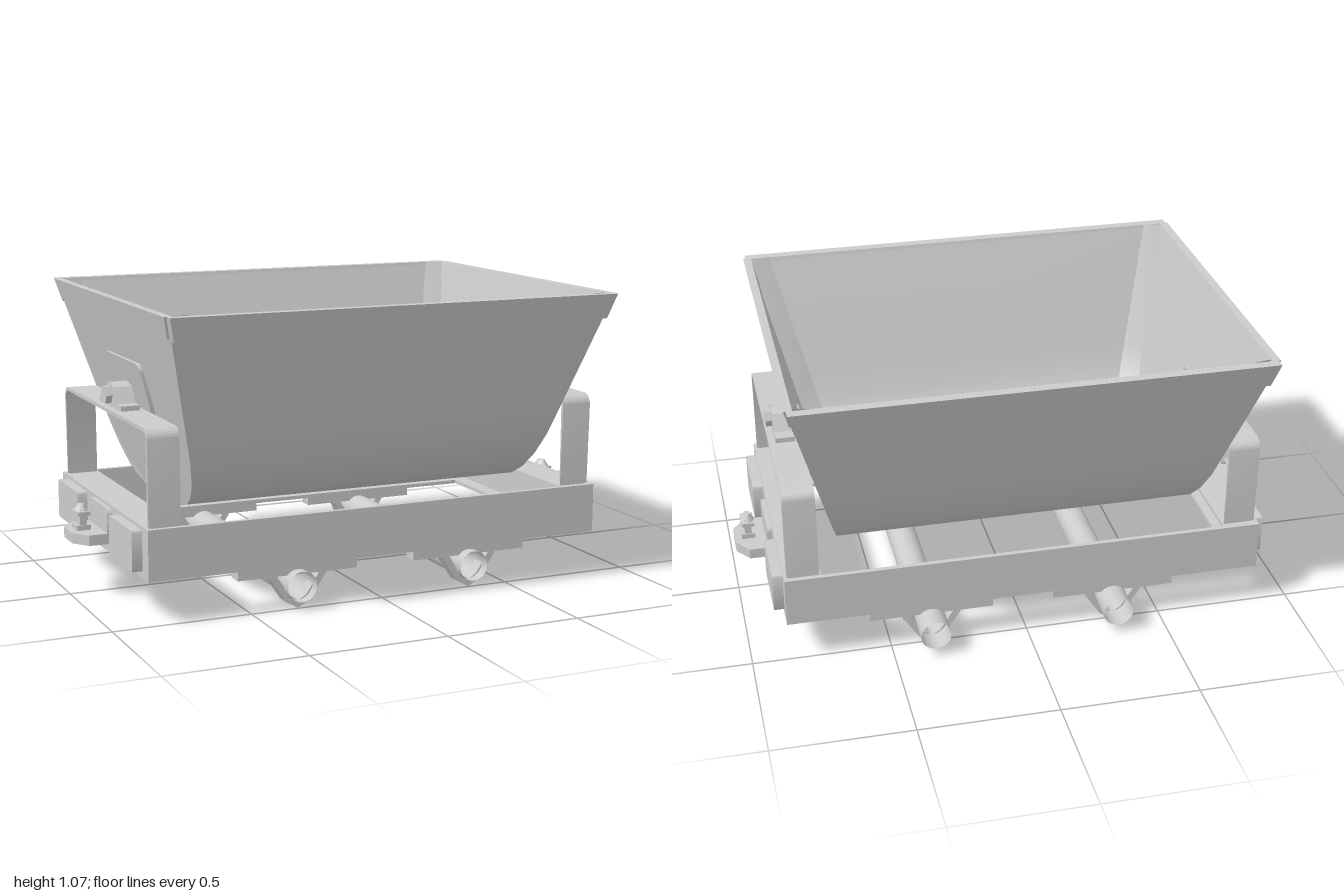
import * as THREE from 'three';
import { toCreasedNormals } from 'three/addons/utils/BufferGeometryUtils.js';

const mat = new THREE.MeshStandardMaterial({ color: 0xcccccc });
const thin = new THREE.MeshStandardMaterial({ color: 0xcccccc, side: THREE.DoubleSide });

function add(parent, name, geo, x = 0, y = 0, z = 0, material = mat) {
  const m = new THREE.Mesh(geo, material);
  m.name = name;
  m.position.set(x, y, z);
  parent.add(m);
  return m;
}
const box = (parent, name, w, h, d, x, y, z) =>
  add(parent, name, new THREE.BoxGeometry(w, h, d), x, y, z);

const toShape = pts => new THREE.Shape(pts.map(p => new THREE.Vector2(p[0], p[1])));

// Extrudes a (z, y) outline along x, then optionally moves x by a rule
function extrudeX(shape, x0, x1, rule) {
  const g = new THREE.ExtrudeGeometry(shape, { depth: x1 - x0, bevelEnabled: false, curveSegments: 8 });
  g.rotateY(Math.PI / 2).translate(x0, 0, 0);
  if (rule) {
    const p = g.attributes.position;
    for (let i = 0; i < p.count; i++) p.setX(i, rule(p.getX(i), p.getY(i)));
  }
  g.computeVertexNormals();
  return toCreasedNormals(g, 0.5);
}

function roundedRect(w, h, cy, r) {
  const s = new THREE.Shape(), a = w / 2 - r, b = h / 2 - r;
  s.absarc(a, cy + b, r, 0, Math.PI / 2);
  s.absarc(-a, cy + b, r, Math.PI / 2, Math.PI);
  s.absarc(-a, cy - b, r, Math.PI, Math.PI * 1.5);
  s.absarc(a, cy - b, r, Math.PI * 1.5, Math.PI * 2);
  return s;
}

// The end walls lean outwards: half length of the tub at height y
const TOP = 1.065, BOTTOM = 0.335;
const endX = y => 0.645 + (y - BOTTOM) * 0.267;
const lean = (x, y) => x + endX(y);
const span = (x, y) => Math.sign(x) * endX(y);

const half = [[0.655, TOP], [0.483, 0.615], [0.45, 0.53], [0.4, 0.45], [0.34, 0.39], [0.28, 0.355], [0.2, BOTTOM]];
const inner = half.map(([z, y], i) => [z - 0.016, i ? y + 0.012 : y]);
const mirrored = pts => pts.map(([z, y]) => [-z, y]);
const bowl = pts => [...pts, ...mirrored(pts).reverse()];

function buildTub() {
  const tub = new THREE.Group();
  tub.name = 'tub';
  add(tub, 'tubSkin', extrudeX(toShape([...bowl(half), ...bowl(inner).reverse()]), -1, 1, span));

  // Folded lips along the long top edges
  const lip = [[0.638, TOP], [0.675, TOP], [0.645, 0.975], [0.615, 0.99]];
  for (const pts of [lip, mirrored(lip)]) add(tub, 'sideLip', extrudeX(toShape(pts), -1, 1, span));

  for (const s of [1, -1]) {
    const end = new THREE.Group();
    end.name = 'tubEnd';
    end.rotation.y = s > 0 ? 0 : Math.PI;
    tub.add(end);
    add(end, 'endWall', extrudeX(toShape(bowl(inner)), -0.016, -0.002, lean));
    add(end, 'endLip', extrudeX(toShape([[0.64, TOP], [-0.64, TOP], [-0.61, 0.99], [0.61, 0.99]]), -0.022, 0.008, lean));
    add(end, 'bearingPlate', extrudeX(roundedRect(0.39, 0.255, 0.717, 0.03), -0.005, 0.012, lean));

    // Trunnion: saddle on the bow, with a hexagonal pin
    add(end, 'trunnionSaddle', extrudeX(toShape([[-0.125, 0.672], [0.125, 0.672], [0.125, 0.69], [0.075, 0.69],
      [0.04, 0.745], [0.015, 0.757], [-0.015, 0.757], [-0.04, 0.745], [-0.075, 0.69], [-0.125, 0.69]]), 0.765, 0.835));
    const pin = new THREE.CylinderGeometry(0.034, 0.034, 0.125, 6).rotateZ(Math.PI / 2);
    add(end, 'trunnionPin', toCreasedNormals(pin, 0.5), 0.795, 0.715, 0);

    // Strips closing the corners between end wall and skin
    for (const side of [1, -1]) {
      const pos = [], idx = [];
      inner.forEach(([z, y], i) => {
        const f = (TOP - y) / 0.73, ya = y + 0.02 * f;
        pos.push(endX(ya) - 0.018, ya, side * (z - 0.015 - 0.015 * f));
        pos.push(endX(y) - 0.09, y + 0.001, side * z);
        if (i) idx.push(2 * i - 2, 2 * i - 1, 2 * i, 2 * i - 1, 2 * i + 1, 2 * i);
      });
      const g = new THREE.BufferGeometry();
      g.setAttribute('position', new THREE.Float32BufferAttribute(pos, 3));
      g.setIndex(idx);
      g.computeVertexNormals();
      add(end, 'cornerStrip', g, 0, 0, 0, thin);
    }
  }
  return tub;
}

// Inverted U of flat bar that carries the tub
function bowShape() {
  const s = new THREE.Shape(), q = Math.PI / 2, c = 0.445, y = 0.632;
  s.moveTo(-0.485, 0.2);
  s.absarc(-c, y, 0.04, Math.PI, q, true);
  s.absarc(c, y, 0.04, q, 0, true);
  s.lineTo(0.485, 0.2);
  s.lineTo(0.472, 0.2);
  s.absarc(c, y, 0.027, 0, q, false);
  s.absarc(-c, y, 0.027, q, Math.PI, false);
  s.lineTo(-0.472, 0.2);
  return s;
}

// One end of the chassis, built at +x
function buildChassisEnd() {
  const end = new THREE.Group();
  end.name = 'chassisEnd';
  box(end, 'endBeam', 0.018, 0.18, 1.01, 0.861, 0.245, 0);
  box(end, 'endTopFlange', 0.12, 0.014, 0.98, 0.8, 0.326, 0);
  box(end, 'endBottomFlange', 0.07, 0.014, 0.98, 0.83, 0.16, 0);
  add(end, 'bow', extrudeX(bowShape(), 0.745, 0.86));
  for (const s of [1, -1]) {
    const pad = extrudeX(roundedRect(0.255, 0.145, 0.25, 0.01), 0.868, 0.907);
    add(end, 'bufferPad', pad, 0, 0, s * 0.318);
  }
  add(end, 'couplerBackplate', extrudeX(roundedRect(0.225, 0.13, 0.26, 0.03), 0.865, 0.888));

  // Coupler tongue with chamfered corners and an upright pin
  const tongue = new THREE.ExtrudeGeometry(
    toShape([[0.87, -0.112], [0.955, -0.112], [1, -0.05], [1, 0.05], [0.955, 0.112], [0.87, 0.112]]),
    { depth: 0.038, bevelEnabled: false });
  add(end, 'couplerTongue', tongue.rotateX(-Math.PI / 2), 0, 0.197, 0);
  box(end, 'couplerPinFoot', 0.05, 0.02, 0.065, 0.95, 0.244, 0);
  box(end, 'couplerPinShaft', 0.025, 0.07, 0.055, 0.95, 0.275, 0);
  add(end, 'couplerPinHead', new THREE.CylinderGeometry(0.012, 0.026, 0.025, 8).scale(1, 1, 1.5), 0.95, 0.313, 0);
  box(end, 'couplerPinCollar', 0.046, 0.014, 0.08, 0.95, 0.296, 0);
  return end;
}

function buildChassis() {
  const chassis = new THREE.Group();
  chassis.name = 'chassis';
  chassis.position.z = -0.005;
  for (const s of [1, -1]) {
    box(chassis, 'sideRail', 1.74, 0.18, 0.018, 0, 0.245, s * 0.499);
    box(chassis, 'railBottomFlange', 1.72, 0.014, 0.065, 0, 0.16, s * 0.465);
    const end = buildChassisEnd();
    end.rotation.y = s > 0 ? 0 : Math.PI;
    chassis.add(end);
  }

  // Axle tubes held by V-shaped straps under the rails
  const strap = toShape([[-0.11, 0.13], [-0.105, 0.115], [-0.045, 0.025], [0, 0], [0.045, 0.025], [0.105, 0.115], [0.11, 0.13],
    [0.082, 0.125], [0.032, 0.046], [0, 0.027], [-0.032, 0.046], [-0.082, 0.125]]);
  for (const x of [-0.322, 0.352]) {
    const axle = new THREE.CylinderGeometry(0.055, 0.055, 1.13, 24, 1, true).rotateX(Math.PI / 2);
    add(chassis, 'axleTube', axle, x, 0.085, -0.025, thin);
    for (const z of [-0.472, 0.472]) {
      box(chassis, 'axlePedestal', 0.45, 0.035, 0.055, x, 0.138, z);
      add(chassis, 'axleStrap', new THREE.ExtrudeGeometry(strap, { depth: 0.055, bevelEnabled: false }), x, 0, z - 0.0275);
    }
  }
  return chassis;
}

export function createModel() {
  const model = new THREE.Group();
  model.name = 'tippingMineCart';
  model.add(buildTub(), buildChassis());
  return model;
}
